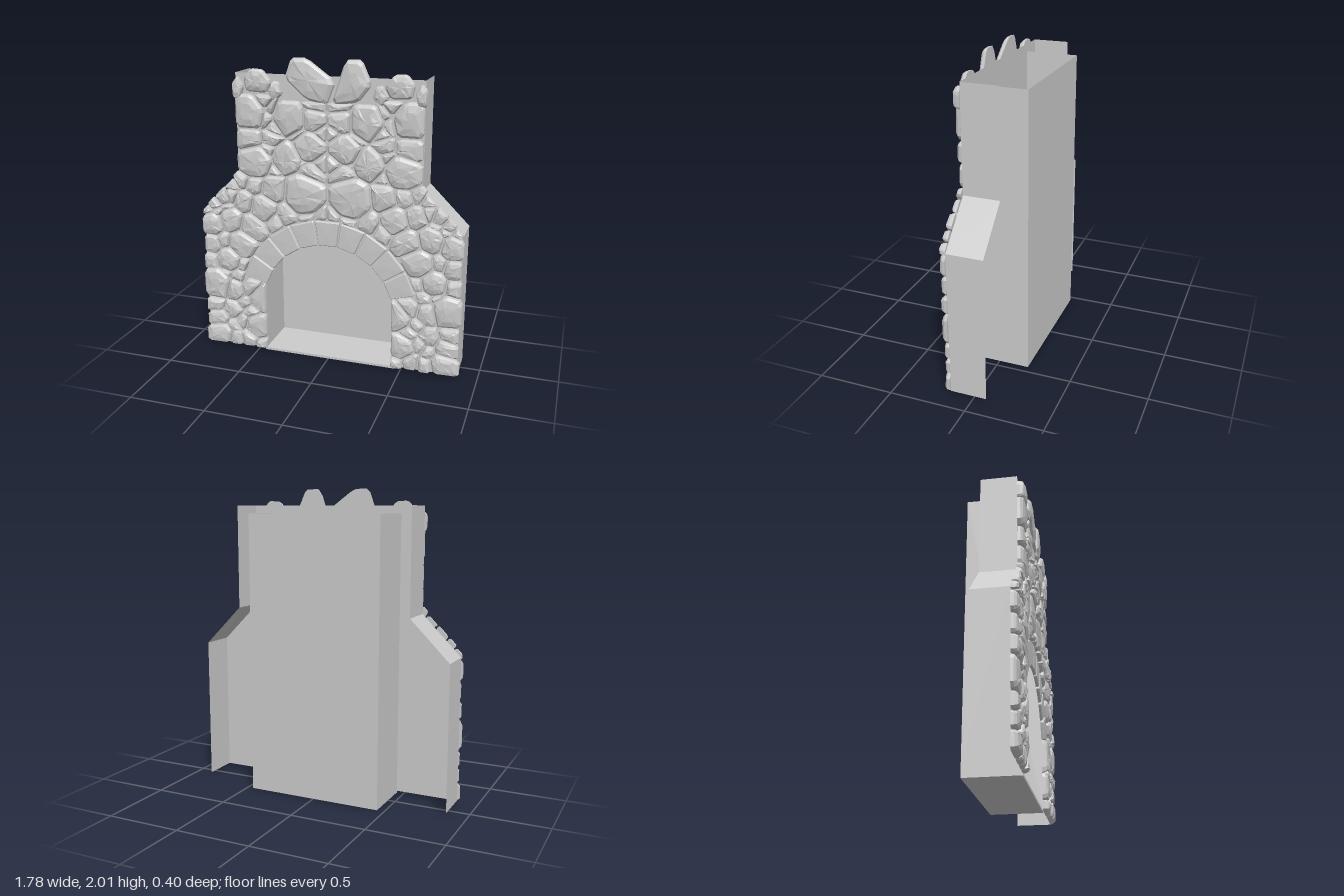
import * as THREE from 'three';

const FRONT = 0.15; // z of the wall face that carries the stones
const stoneMat = new THREE.MeshStandardMaterial({ color: 0xcccccc, flatShading: true });
const wallMat = new THREE.MeshStandardMaterial({ color: 0xcccccc, side: THREE.DoubleSide });

// small seeded generator
let seed = 7;
const rand = () => (seed = (seed * 16807) % 2147483647) / 2147483647;
const vary = (a) => (rand() * 2 - 1) * a;

// Stone seeds for one half: x, y, rough radius
const chimneySeeds = [
  [.53, 1.65, .12], [.43, 1.73, .06], [.25, 1.63, .11], [.41, 1.62, .05], [.345, 1.56, .05],
  [.08, 1.71, .06], [.37, 1.68, .04], [.09, 1.63, .08], [.04, 1.555, .04], [.12, 1.45, .1],
  [.53, 1.48, .09], [.37, 1.49, .06], [.27, 1.37, .1], [.49, 1.33, .12], [.39, 1.42, .05],
  [.05, 1.36, .05], [.11, 1.29, .07], [.37, 1.28, .05], [.19, 1.53, .04], [.15, 1.36, .03],
];
const shoulderSeeds = [
  [.16, 1.14, .14], [.37, 1.16, .1], [.49, 1.18, .08], [.57, 1.2, .06], [.28, 1.01, .07],
  [.14, 1.02, .05], [.04, 1.02, .04], [.44, 1.03, .1], [.57, 1.06, .08], [.65, 1.09, .05],
  [.72, 1.07, .05], [.78, 1.02, .04], [.70, 1.0, .04], [.85, .96, .05], [.64, 1.16, .04],
  [.53, .89, .09], [.67, .92, .09], [.82, .88, .09], [.76, .97, .04], [.37, .96, .05],
  [.6, .76, .1], [.73, .77, .06], [.83, .74, .08], [.7, .64, .09], [.84, .62, .07], [.61, .62, .05],
];
const jambSeeds = [
  [.81, .45, .12], [.73, .54, .04], [.64, .53, .05], [.67, .42, .08], [.56, .44, .06],
  [.48, .37, .08], [.6, .34, .05], [.82, .3, .08], [.69, .27, .07], [.55, .27, .05],
  [.8, .2, .08], [.5, .17, .09], [.62, .2, .05], [.68, .16, .05], [.78, .08, .09],
  [.66, .06, .06], [.57, .07, .06], [.47, .05, .04],
];

// Keep the part of a polygon where a*x + b*y <= c
function clip(poly, a, b, c) {
  const out = [];
  poly.forEach((p, i) => {
    const q = poly[(i + 1) % poly.length];
    const dp = a * p[0] + b * p[1] - c, dq = a * q[0] + b * q[1] - c;
    if (dp <= 0) out.push(p);
    if (dp * dq < 0) {
      const t = dp / (dp - dq);
      out.push([p[0] + (q[0] - p[0]) * t, p[1] + (q[1] - p[1]) * t]);
    }
  });
  return out;
}

// Blunt every corner of a polygon
function blunt(poly, k) {
  return poly.flatMap((p, i) => {
    const prev = poly[(i + poly.length - 1) % poly.length], next = poly[(i + 1) % poly.length];
    return [prev, next].map((q) => [p[0] + (q[0] - p[0]) * k, p[1] + (q[1] - p[1]) * k]);
  });
}

// Stone from shrinking rings [scale, height, jitter] over a counterclockwise outline
function stone(poly, rings, name) {
  const n = poly.length;
  const cx = poly.reduce((s, p) => s + p[0], 0) / n, cy = poly.reduce((s, p) => s + p[1], 0) / n;
  const loops = rings.map(([s, h, j]) => {
    const ox = s === 0 ? vary(j * 2) : 0, oy = s === 0 ? vary(j * 2) : 0, tip = vary(j * 0.5);
    return poly.map(([x, y]) => [cx + ox + (x - cx) * s, cy + oy + (y - cy) * s,
      FRONT + h + (s === 0 ? tip : vary(j))]);
  });
  const pos = [];
  for (let r = 0; r + 1 < loops.length; r++) {
    for (let i = 0; i < n; i++) {
      const k = (i + 1) % n, [a, b, c, d] = [loops[r][i], loops[r][k], loops[r + 1][k], loops[r + 1][i]];
      if (rings[r][0] > 0) pos.push(...a, ...b, ...c);
      if (rings[r + 1][0] > 0) pos.push(...a, ...c, ...d);
    }
  }
  const g = new THREE.BufferGeometry();
  g.setAttribute('position', new THREE.Float32BufferAttribute(pos, 3));
  g.computeVertexNormals();
  const m = new THREE.Mesh(g, stoneMat);
  m.name = name;
  return m;
}

function fieldStone(poly) {
  const h = 0.038 + rand() * 0.009;
  return stone(blunt(poly, 0.14),
    [[0, 0, 0], [1, 0, 0], [0.97, h * 0.45, 0.002], [0.83, h * 0.8, 0.004], [0.45, h * 0.97, 0.003], [0, h, 0.004]],
    'fieldStone');
}
const mirror = (poly) => poly.map(([x, y]) => [-x, y]).reverse();

// Outline of one stone: weighted cell among all seeds, trimmed to the wall
function cell(s, all) {
  const [x, y, r] = s, gap = 0.005;
  let p = [[.004, .016], [1, .016], [1, 2], [.004, 2]];
  for (const [u, v, q] of all) {
    if (u === x && v === y) continue;
    const a = 2 * (u - x), b = 2 * (v - y);
    p = clip(p, a, b, u * u + v * v - x * x - y * y - q * q + r * r - gap * Math.hypot(a, b));
  }
  if (y > 1.24) {
    p = clip(p, 1, 0, .605 + rand() * .015);
    p = clip(p, 0, 1, x < .3 ? 1.74 : 1.77);
  } else {
    p = clip(p, 1, 0, .87 + rand() * .02);
    p = clip(p, .28, .27, .508 + rand() * .006);
  }
  if (y < .5) {
    p = clip(p, -1, 0, -.435);
    if (x < .6) p = clip(p, -.19, 1, .415);
  } else { // stay outside the arch ring
    const d = Math.hypot(x, y - .37), a = -x / d, b = -(y - .37) / d;
    p = clip(p, a, b, b * .37 - .615);
  }
  return p;
}

// Open sheet: a path in x, y swept along z
function sheet(path, z0, z1, name) {
  const pos = [];
  for (let i = 0; i + 1 < path.length; i++) {
    const [a, b] = [path[i], path[i + 1]];
    pos.push(...a, z0, ...b, z0, ...b, z1, ...a, z0, ...b, z1, ...a, z1);
  }
  const g = new THREE.BufferGeometry();
  g.setAttribute('position', new THREE.Float32BufferAttribute(pos, 3));
  g.computeVertexNormals();
  const m = new THREE.Mesh(g, wallMat);
  m.name = name;
  return m;
}

export function createModel() {
  seed = 7;
  const model = new THREE.Group();
  model.name = 'stoneFireplace';

  // Front wall with the arched opening cut from its lower edge
  const side = [[.87, .016], [.87, .96], [.61, 1.22], [.61, 1.9]];
  const face = new THREE.Shape();
  const start = Math.asin(.13 / .44);
  face.moveTo(.435, .016);
  side.forEach((p) => face.lineTo(...p));
  mirror(side).forEach((p) => face.lineTo(...p));
  face.lineTo(-.435, .016);
  face.lineTo(-.435, .5);
  face.absarc(0, .37, .44, Math.PI - start, start, true);
  face.lineTo(.435, .5);
  const front = new THREE.Mesh(new THREE.ShapeGeometry(face, 24), wallMat);
  front.position.z = FRONT;
  front.name = 'frontWall';
  model.add(front);

  // Outer side walls with sloping shoulders
  model.add(sheet(side, FRONT, -.085, 'leftSideWall'), sheet(mirror(side), FRONT, -.085, 'rightSideWall'));

  // Firebox and flue: floor, two sides and back, open at the top
  model.add(sheet([[-.455, .004], [.455, .004]], FRONT, -.2, 'hearthFloor'));
  for (const s of [-1, 1]) model.add(sheet([[s * .455, .004], [s * .455, 1.85]], FRONT, -.2, 'fireboxSide'));
  const back = new THREE.Mesh(new THREE.PlaneGeometry(.91, 1.846), wallMat);
  back.position.set(0, .927, -.2);
  back.name = 'fireboxBack';
  model.add(back);
  // thin front lip of the hearth
  const lip = new THREE.Mesh(new THREE.BoxGeometry(.91, .016, .004), wallMat);
  lip.position.set(0, .008, FRONT);
  lip.name = 'hearthLip';
  model.add(lip);

  // Arch ring of nine cut blocks
  const arch = new THREE.Group();
  arch.name = 'archBlocks';
  for (let i = -4; i <= 4; i++) {
    const mid = Math.PI / 2 + i * .288;
    const corner = (r, e) => [r * Math.cos(mid + e), .37 + r * Math.sin(mid + e)];
    const poly = [corner(.445, -.134), corner(.61, -.134), corner(.61, .134), corner(.445, .134)];
    arch.add(stone(blunt(poly, .03), [[0, 0, 0], [1, 0, 0], [1, .012, 0], [.93, .02, 0], [0, .022, 0]], 'archBlock'));
  }
  model.add(arch);

  // Field stones, mirrored about the centre
  const field = new THREE.Group();
  field.name = 'fieldStones';
  const all = [...chimneySeeds, ...shoulderSeeds, ...jambSeeds];
  const half = all.map((s) => cell(s, all)).filter((p) => p.length > 2);
  // top corner stones
  half.push(
    [[.36, 1.85], [.40, 1.78], [.53, 1.785], [.55, 1.87], [.5, 1.93], [.42, 1.925]],
    [[.55, 1.82], [.57, 1.74], [.62, 1.74], [.625, 1.84], [.59, 1.88]],
    [[.29, 1.78], [.34, 1.73], [.395, 1.785], [.35, 1.86], [.31, 1.85]],
  );
  half.forEach((p) => field.add(fieldStone(p), fieldStone(mirror(p))));
  // two large crown stones
  field.add(
    fieldStone([[-.275, 1.88], [-.13, 1.75], [0, 1.72], [.055, 1.87], [-.13, 2.005], [-.23, 2.005]]),
    fieldStone([[.025, 1.72], [.2, 1.75], [.285, 1.86], [.22, 2.005], [.12, 2.005]]),
  );
  model.add(field);
  return model;
}
